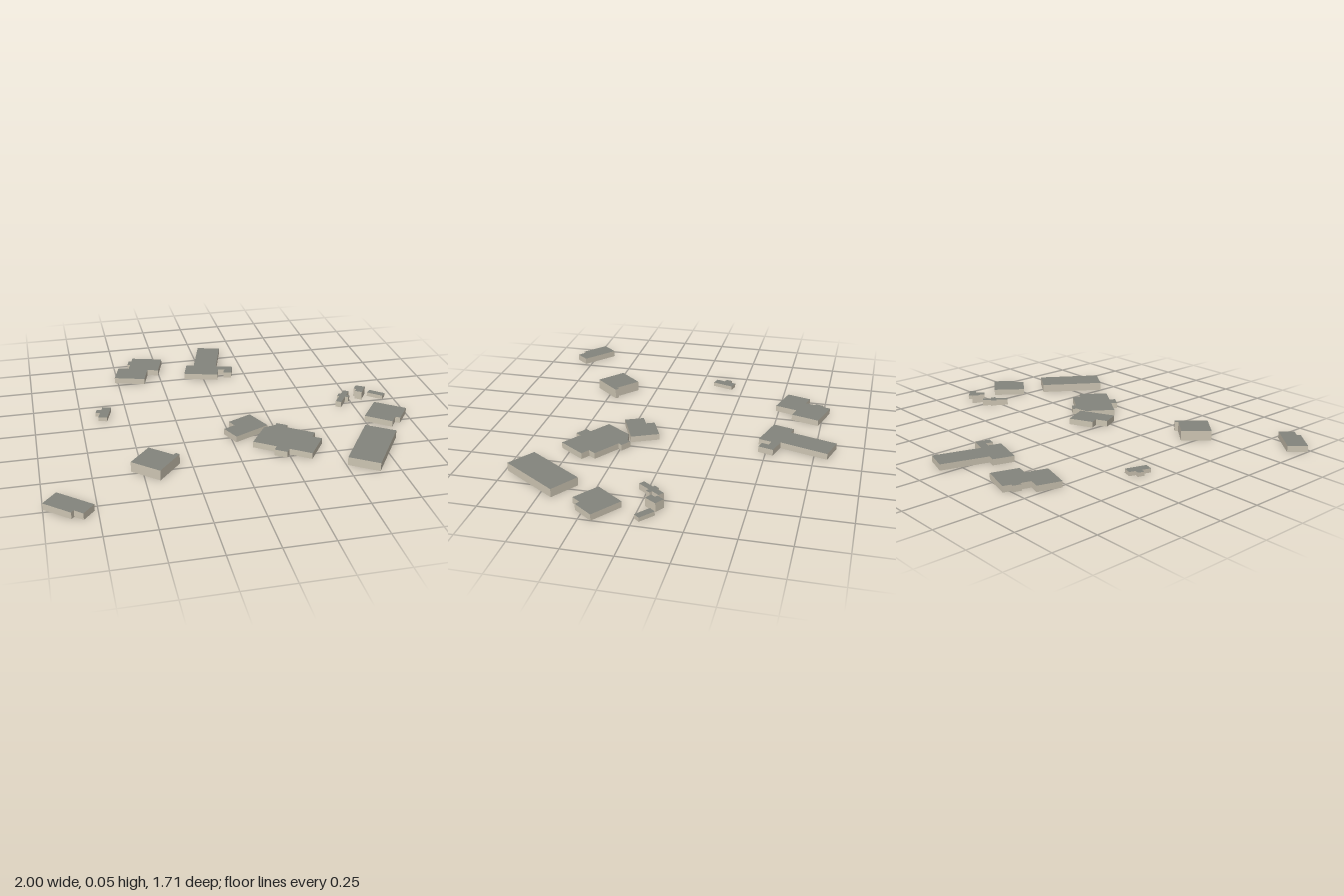
import * as THREE from 'three';

const wallMaterial = new THREE.MeshStandardMaterial({ color: 0xcdc5b3, side: THREE.DoubleSide });
wallMaterial.name = 'beige wall';
const roofMaterial = new THREE.MeshStandardMaterial({ color: 0x84857d, side: THREE.DoubleSide });
roofMaterial.name = 'grey roof';

// A wing stands out from one side of a block; from and to run clockwise along that side.
// slant shifts its first outer corner to make a chamfer.
const wing = (side, from, to, out, slant = 0) => ({ side, from, to, out, slant });

// Walks clockwise round a rectangle whose back left corner is the origin, stepping out at each wing
function footprint(width, depth, wings) {
  const sides = [
    { name: 'back', start: [0, 0], along: [1, 0] },
    { name: 'right', start: [width, 0], along: [0, 1] },
    { name: 'front', start: [width, depth], along: [-1, 0] },
    { name: 'left', start: [0, depth], along: [0, -1] },
  ];
  const points = [];
  for (const { name, start, along } of sides) {
    const add = (t, out) => {
      const point = new THREE.Vector2(
        start[0] + along[0] * t + along[1] * out,
        start[1] + along[1] * t - along[0] * out,
      );
      if (!points.some((other) => other.distanceTo(point) < 1e-5)) points.push(point);
    };
    add(0, 0);
    for (const { from, to, out, slant } of wings.filter((w) => w.side === name)) {
      add(from, 0);
      add(from + slant, out);
      add(to, out);
      add(to, 0);
    }
  }
  return points;
}

// Ring of upright walls, open at the bottom
function wallGeometry(plan, height) {
  const positions = [];
  plan.forEach((a, i) => {
    const b = plan[(i + 1) % plan.length];
    positions.push(a.x, 0, a.y, a.x, height, a.y, b.x, 0, b.y);
    positions.push(b.x, 0, b.y, a.x, height, a.y, b.x, height, b.y);
  });
  const geometry = new THREE.BufferGeometry();
  geometry.setAttribute('position', new THREE.Float32BufferAttribute(positions, 3));
  geometry.computeVertexNormals();
  return geometry;
}

// Flat roof filling the footprint at wall height
function roofGeometry(plan, height) {
  const shape = new THREE.Shape(plan.map((p) => new THREE.Vector2(p.x, -p.y)));
  return new THREE.ShapeGeometry(shape).rotateX(-Math.PI / 2).translate(0, height, 0);
}

export function createModel() {
  const model = new THREE.Group();
  model.name = 'buildingCluster';

  // x, z place the back left corner; the angle in degrees turns clockwise seen from above
  function addBuilding(name, x, z, angle, width, depth, height, ...wings) {
    const plan = footprint(width, depth, wings);
    const walls = new THREE.Mesh(wallGeometry(plan, height), wallMaterial);
    walls.name = 'walls';
    const roof = new THREE.Mesh(roofGeometry(plan, height), roofMaterial);
    roof.name = 'roof';
    const building = new THREE.Group();
    building.name = name;
    building.position.set(x, 0, z);
    building.rotation.y = -THREE.MathUtils.degToRad(angle);
    building.add(walls, roof);
    model.add(building);
  }

  // Western houses
  addBuilding('westLongHouse', -0.93, 0.645, 40.3, 0.216, 0.086, 0.035,
    wing('front', 0.053, 0.216, 0.021));
  addBuilding('tallSquareHouse', -0.45, 0.355, 41, 0.171, 0.163, 0.055,
    wing('back', 0.148, 0.171, 0.019));
  addBuilding('westShed', -0.625, -0.2, 17, 0.048, 0.12, 0.022,
    wing('left', 0.05, 0.085, 0.025));

  // Northern houses
  addBuilding('steppedHouse', -0.38, -0.785, 16.4, 0.114, 0.28, 0.033,
    wing('right', 0, 0.156, 0.063),
    wing('left', 0, 0.134, 0.061), wing('left', 0.19, 0.235, 0.016));
  addBuilding('longWingHouse', -0.076, -0.618, 16.4, 0.195, 0.117, 0.033,
    wing('back', 0.044, 0.177, 0.262), wing('right', 0, 0.045, 0.079));
  addBuilding('longWingPorch', 0.131, -0.51, 16.4, 0.045, 0.038, 0.033);

  // Central pair
  addBuilding('centreHouse', 0.015, 0.135, -24.6, 0.141, 0.153, 0.033,
    wing('left', 0, 0.105, 0.068));
  addBuilding('centreHall', 0.182, 0.235, 34.2, 0.267, 0.166, 0.033,
    wing('back', 0, 0.267, 0.045, 0.045), wing('right', 0, 0.166, 0.051),
    wing('front', 0.07, 0.139, 0.035));
  addBuilding('centreHallPorch', 0.26, 0.204, 34.2, 0.06, 0.028, 0.033);

  // Eastern houses and sheds
  addBuilding('eastLongHall', 0.705, 0.345, 33.5, 0.166, 0.36, 0.045);
  addBuilding('eastHouse', 0.855, 0.08, 36.5, 0.18, 0.124, 0.033,
    wing('front', 0.027, 0.18, 0.057));
  addBuilding('crossShed', 0.735, -0.095, 35.5, 0.032, 0.147, 0.033,
    wing('right', 0.048, 0.074, 0.018), wing('left', 0.067, 0.099, 0.012));
  addBuilding('tallShed', 0.815, -0.115, 33.7, 0.054, 0.046, 0.047,
    wing('front', 0, 0.039, 0.027));
  addBuilding('eastShed', 0.89, -0.09, 40, 0.091, 0.038, 0.022);
  return model;
}
